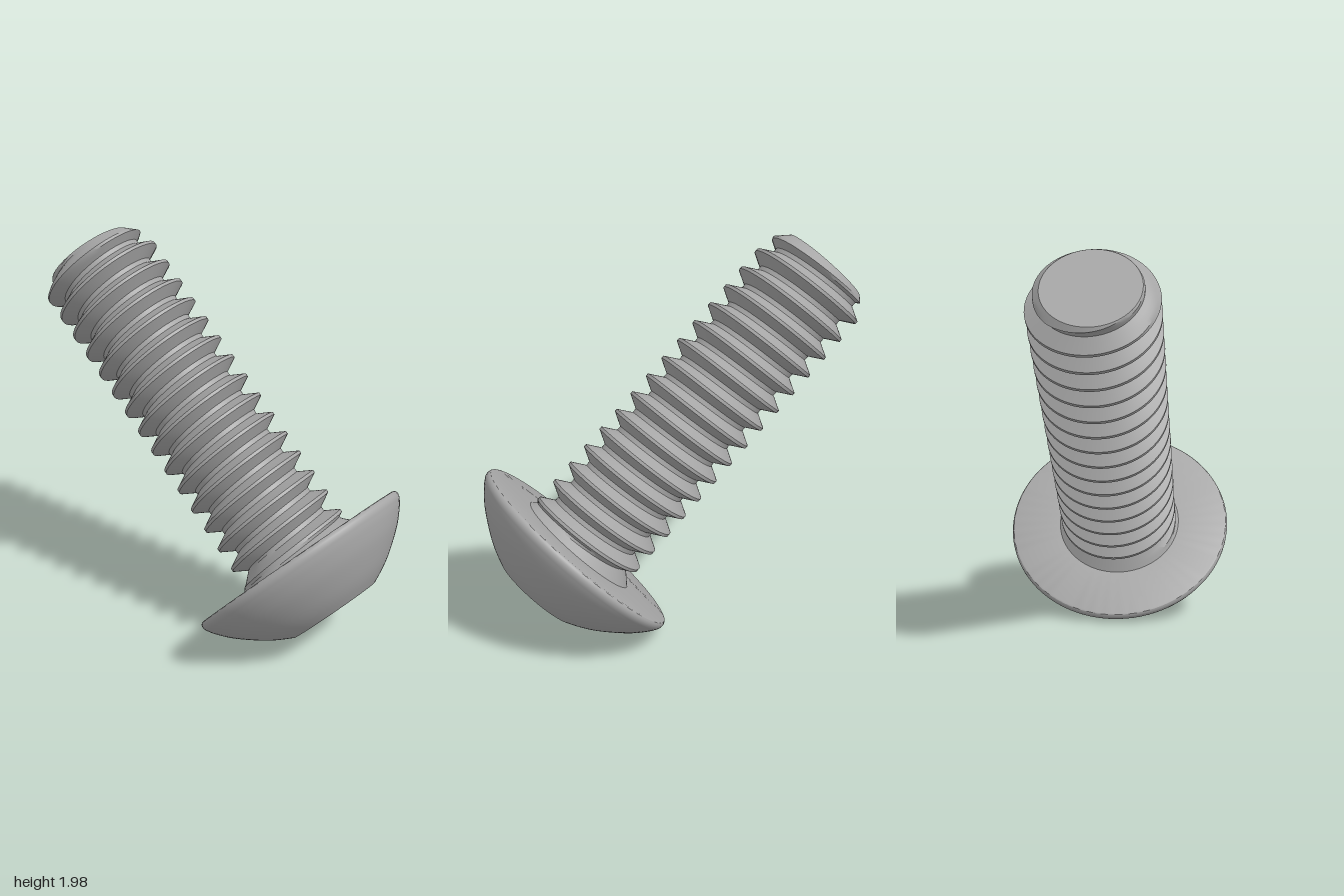
import * as THREE from 'three';
import { toCreasedNormals } from 'three/addons/utils/BufferGeometryUtils.js';

const HEAD = -0.035, TIP = 1.874;          // underside of head and end of shank, along the axis
const PITCH = 0.1207, MAJOR = 0.315, DEPTH = 0.072, CREST = 1.711;
const TIP_R = 0.235, TOP = -0.36, RIM = 0.214, APOTHEM = 0.185, FLOOR = -0.17;
const TURN = Math.PI * 2;

// Sweeps rows around the y axis; at(angle, row) returns [radius, height].
function loft(segments, rows, at, crease = 0.5) {
  const pos = [], index = [];
  for (let i = 0; i <= segments; i++) {
    const a = (i / segments) * TURN;
    const c = i === segments ? 1 : Math.cos(a), s = i === segments ? 0 : Math.sin(a);
    for (let j = 0; j < rows; j++) {
      const [r, y] = at(a, j);
      pos.push(r * c, y, -r * s);
      if (i < segments && j < rows - 1) {
        const k = i * rows + j, n = k + rows;
        index.push(k, n, k + 1, n, n + 1, k + 1);
      }
    }
  }
  const g = new THREE.BufferGeometry();
  g.setAttribute('position', new THREE.Float32BufferAttribute(pos, 3));
  g.setIndex(index);
  return toCreasedNormals(g, crease);
}

// Radius of the right-hand thread, with the end chamfer and the neck under the head.
function threadRadius(a, y) {
  const turns = (y - CREST) / PITCH - a / TURN;
  const d = Math.abs(turns - Math.round(turns)) * PITCH;
  const thread = MAJOR - THREE.MathUtils.clamp((d - 0.008) * 1.78, 0, DEPTH);
  const neck = 0.33 - (y - HEAD);
  return Math.min(Math.max(thread, neck), TIP_R + TIP - y);
}

function hexRadius(a) {
  const side = Math.PI / 3;
  return APOTHEM / Math.cos((a % side) - side / 2);
}

export function createModel() {
  const steel = new THREE.MeshStandardMaterial({ color: 0xa6a6a6 });
  steel.name = 'steel grey';
  const screw = new THREE.Group();
  screw.name = 'screw';
  const add = (name, geometry) => {
    const mesh = new THREE.Mesh(geometry, steel);
    mesh.name = name;
    screw.add(mesh);
    return mesh;
  };

  // Threaded shank: rows follow the helix and are clamped at both ends
  const steps = [-0.5, -0.4, -0.29, -0.18, -0.066, 0.066, 0.18, 0.29, 0.4];
  const heights = [];
  for (let k = -17; k <= 3; k++) for (const f of steps) heights.push(CREST + (k + f) * PITCH);
  add('threadedShank', loft(84, heights.length, (a, j) => {
    const y = THREE.MathUtils.clamp(heights[j] + (a / TURN) * PITCH, HEAD, TIP);
    return [threadRadius(a, y), y];
  }));

  // Flat end of the shank
  const tip = add('shankTip', new THREE.CircleGeometry(TIP_R, 84));
  tip.rotation.x = -Math.PI / 2;
  tip.position.y = TIP;

  // Button head: flat ring, dome, rounded rim and underside
  const dome = new THREE.SplineCurve([
    [0.2475, TOP], [0.33, -0.318], [0.407, -0.267], [0.502, -0.19], [0.565, -0.122], [0.594, -0.08],
  ].map(p => new THREE.Vector2(...p))).getPoints(24).map(p => [p.x, p.y]);
  const profile = [[RIM, TOP], ...dome,
    [0.599, -0.068], [0.6, -0.056], [0.597, -0.045], [0.591, -0.038], [0.583, HEAD], [0.3, HEAD]];
  add('buttonHead', loft(96, profile.length, (a, j) => profile[j]));

  // Hex socket: floor, six walls and a conical lead-in
  add('hexSocket', loft(96, 4, (a, j) => {
    const r = hexRadius(a);
    return [[0, FLOOR], [r, FLOOR], [r, TOP + (RIM - r) * 0.7], [RIM, TOP]][j];
  }, 0.4));

  // Lean the screw at 45 degrees, head down
  screw.rotation.z = Math.PI / 4;
  screw.position.set(0.5, 0.5, 0);
  const model = new THREE.Group();
  model.name = 'buttonHeadScrew';
  model.add(screw);
  return model;
}
